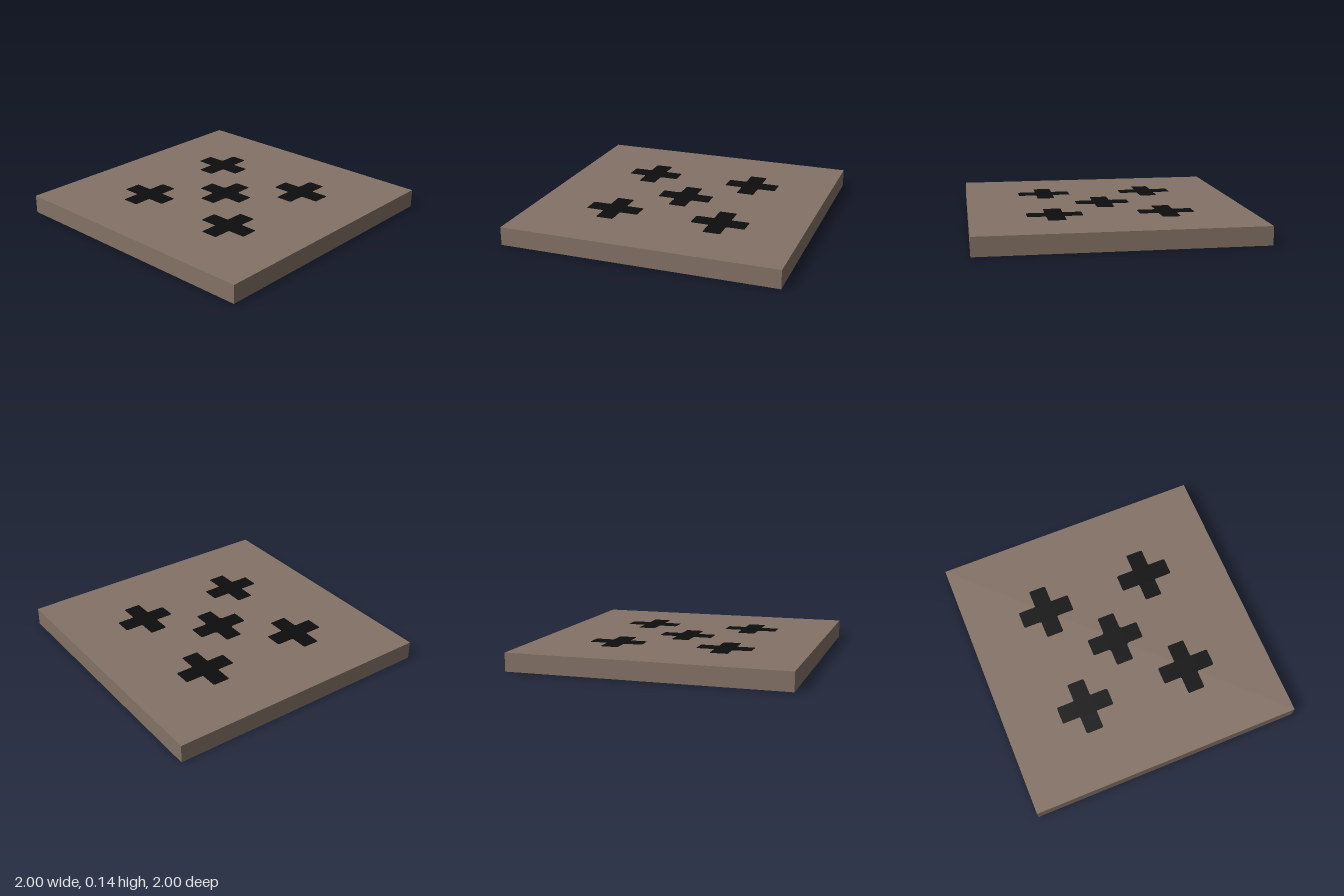
import * as THREE from 'three';

const HEIGHT = 0.135;
const PROUD = 0.001; // inlays stand just clear of both faces
const ARM = 0.197;
const HALF = 0.064;

// Plus-shaped outline with every corner rounded
function crossShape(outer, inner) {
  const quarter = [[ARM, -HALF, outer], [ARM, HALF, outer], [HALF, HALF, inner]];
  const corners = [];
  for (let i = 0; i < 4; i++) {
    const a = (i * Math.PI) / 2;
    for (const [x, y, r] of quarter) {
      corners.push({ p: new THREE.Vector2(x, y).rotateAround(new THREE.Vector2(), a), r });
    }
  }
  const shape = new THREE.Shape();
  corners.forEach(({ p, r }, i) => {
    const prev = corners[(i + 11) % 12].p;
    const next = corners[(i + 1) % 12].p;
    const a = prev.clone().sub(p).setLength(r).add(p);
    const b = next.clone().sub(p).setLength(r).add(p);
    if (i === 0) shape.moveTo(a.x, a.y);
    else shape.lineTo(a.x, a.y);
    shape.quadraticCurveTo(p.x, p.y, b.x, b.y);
  });
  shape.closePath();
  return shape;
}

export function createModel() {
  const model = new THREE.Group();
  model.name = 'crossTile';

  const brown = new THREE.MeshStandardMaterial({ color: 0x847266 });
  brown.name = 'brown';
  const black = new THREE.MeshStandardMaterial({ color: 0x0d0d0d });
  black.name = 'black';

  // Square slab
  const slab = new THREE.Mesh(new THREE.BoxGeometry(2, HEIGHT - 2 * PROUD, 2), brown);
  slab.name = 'slab';
  slab.position.y = HEIGHT / 2;
  model.add(slab);

  // Cross inlays running through the slab, visible above and below
  const inlay = (name, x, z, inner) => {
    const geometry = new THREE.ExtrudeGeometry(crossShape(0.012, inner), {
      depth: HEIGHT, bevelEnabled: false, curveSegments: 5,
    });
    geometry.rotateX(-Math.PI / 2);
    const mesh = new THREE.Mesh(geometry, black);
    mesh.name = name;
    mesh.position.set(x, 0, z);
    model.add(mesh);
  };
  inlay('centreCross', 0, 0, 0.024);
  for (const [side, x] of [['left', 0.4], ['right', -0.4]]) {
    for (const [end, z] of [['Front', 0.4], ['Back', -0.4]]) {
      inlay(side + end + 'Cross', x, z, 0.012);
    }
  }
  return model;
}
